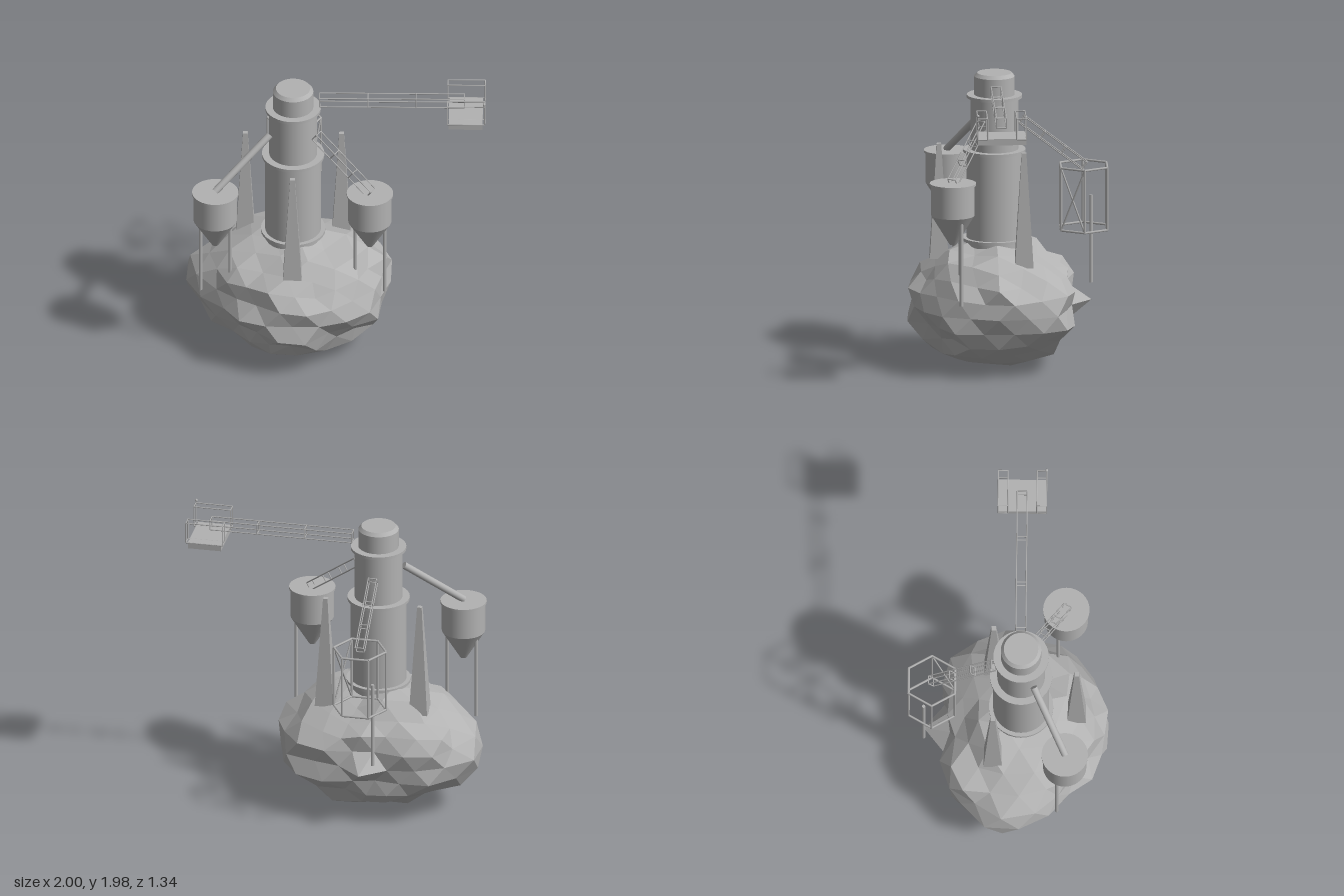
import * as THREE from 'three';

const CX = -0.286, CZ = 0.082; // tower axis

export function createModel() {
  const model = new THREE.Group();
  const grey = new THREE.MeshStandardMaterial({ color: 0xb2b2b2 });
  grey.name = 'plain grey';

  const V = (x, y, z) => new THREE.Vector3(x, y, z);
  function add(parent, name, geo, x = 0, y = 0, z = 0) {
    const m = new THREE.Mesh(geo, grey);
    m.name = name;
    m.position.set(x, y, z);
    parent.add(m);
    return m;
  }
  function group(name) {
    const g = new THREE.Group();
    g.name = name;
    model.add(g);
    return g;
  }
  // upright round section between two heights
  function drum(parent, name, x, z, y0, y1, r0, r1 = r0, sides = 32) {
    return add(parent, name, new THREE.CylinderGeometry(r1, r0, y1 - y0, sides), x, (y0 + y1) / 2, z);
  }
  // straight bar from a to b
  function bar(parent, name, a, b, r, sides = 6) {
    const m = add(parent, name, new THREE.CylinderGeometry(r, r, a.distanceTo(b), sides));
    m.position.copy(a).add(b).multiplyScalar(0.5);
    m.quaternion.setFromUnitVectors(V(0, 1, 0), b.clone().sub(a).normalize());
    return m;
  }
  // square lattice: four chords and evenly spaced frames
  function truss(name, a, b, half, bays, r) {
    const g = group(name);
    const dir = b.clone().sub(a).normalize();
    const side = dir.clone().cross(V(0, 1, 0)).normalize().multiplyScalar(half);
    const rise = side.clone().cross(dir).normalize().multiplyScalar(half);
    const corner = (t, i) => a.clone().lerp(b, t)
      .addScaledVector(side, i === 0 || i === 3 ? 1 : -1)
      .addScaledVector(rise, i < 2 ? 1 : -1);
    for (let i = 0; i < 4; i++) {
      bar(g, 'chord', corner(0, i), corner(1, i), r);
      for (let k = 0; k <= bays; k++) bar(g, 'frame', corner(k / bays, i), corner(k / bays, (i + 1) % 4), r);
    }
  }

  // Faceted boulder: flattened ball with poles up and down, shaped in plan and roughened
  const outline = [0.71, 0.67, 0.65, 0.61, 0.59, 0.60, 0.61, 0.59, 0.58, 0.58, 0.60, 0.63,
    0.69, 0.72, 0.71, 0.68, 0.61, 0.53, 0.51, 0.53, 0.60, 0.66, 0.69, 0.72]; // every 15 degrees
  const rough = (p) => {
    const s = Math.sin(Math.round(p.x * 500) * 12.99 + Math.round(p.y * 500) * 78.23 + Math.round(p.z * 500) * 37.72) * 43758.5;
    return s - Math.floor(s);
  };
  const spike = V(0, 0, -1), crown = V(-0.25, 0.9, -0.3).normalize();
  const rockGeo = new THREE.IcosahedronGeometry(1, 3);
  rockGeo.rotateX(-Math.atan((1 + Math.sqrt(5)) / 2));
  rockGeo.rotateY(Math.PI / 2);
  const pos = rockGeo.attributes.position;
  const p = V(0, 0, 0);
  for (let i = 0; i < pos.count; i++) {
    p.fromBufferAttribute(pos, i);
    const a = ((Math.atan2(p.z, p.x) / (Math.PI * 2) + 1) % 1) * 24;
    const k = Math.floor(a);
    const rim = THREE.MathUtils.lerp(outline[k % 24], outline[(k + 1) % 24], a - k);
    const reach = THREE.MathUtils.lerp(0.62, rim, p.x * p.x + p.z * p.z);
    let n = 0.9 + 0.15 * rough(p);
    if (p.dot(spike) > 0.98) n = 1.25;
    if (p.dot(crown) > 0.96) n = 1.06;
    if (p.y < -0.99) n = 1;
    pos.setXYZ(i, Math.max(-1, CX + p.x * reach * n), Math.max(0, 0.425 + p.y * 0.425 * n), CZ - 0.01 + p.z * reach * n);
  }
  rockGeo.computeVertexNormals();
  add(model, 'boulder', rockGeo);

  // Tower with stepped barrel, collars and cap
  const tower = group('tower');
  drum(tower, 'foot', CX, CZ, 0.76, 0.84, 0.19);
  drum(tower, 'baseCollar', CX, CZ, 0.84, 0.86, 0.215);
  drum(tower, 'lowerBarrel', CX, CZ, 0.86, 1.44, 0.187);
  drum(tower, 'middleCollar', CX, CZ, 1.44, 1.46, 0.208);
  drum(tower, 'upperBarrel', CX, CZ, 1.46, 1.81, 0.16);
  drum(tower, 'topCollar', CX, CZ, 1.81, 1.83, 0.185);
  drum(tower, 'cap', CX, CZ, 1.83, 1.955, 0.135);
  drum(tower, 'capBevel', CX, CZ, 1.955, 1.978, 0.135, 0.115);

  // Three square tapered spires round the tower
  for (const deg of [90, 210, 330]) {
    const t = deg * Math.PI / 180;
    const geo = new THREE.CylinderGeometry(0.022, 0.088, 0.775, 4).toNonIndexed();
    geo.rotateY(Math.PI / 4);
    geo.computeVertexNormals();
    add(model, 'spire', geo, CX + 0.37 * Math.cos(t), 1.11, CZ + 0.37 * Math.sin(t));
  }

  // Two hoppers with legs
  for (const side of [-1, 1]) {
    const hopper = group(side < 0 ? 'rightHopper' : 'leftHopper');
    const x = CX + side * 0.515, z = 0.378;
    drum(hopper, 'rim', x, z, 1.325, 1.34, 0.155);
    drum(hopper, 'bin', x, z, 1.12, 1.325, 0.145);
    drum(hopper, 'funnel', x, z, 0.92, 1.12, 0.022, 0.145);
    for (const dx of [-0.098, 0.098]) drum(hopper, 'leg', x + dx, z - 0.053, 0.52, 1.12, 0.012, 0.012, 8);
  }

  // Feed pipe on one side, lattice chutes on the others
  bar(model, 'feedPipe', V(-0.44, 1.66, 0.168), V(-0.802, 1.345, 0.38), 0.024, 16);
  truss('sideChute', V(-0.13, 1.66, 0.17), V(0.235, 1.345, 0.38), 0.028, 3, 0.004);
  truss('rearChute', V(CX, 1.657, -0.1), V(CX, 1.34, -0.518), 0.028, 3, 0.004);

  // Open hexagonal cage at the rear, with one braced bay and one leg
  const cage = group('hexCage');
  const post = (i, y) => V(CX + 0.178 * Math.cos(i * Math.PI / 3), y, -0.513 + 0.178 * Math.sin(i * Math.PI / 3));
  const lo = 0.915, hi = 1.34;
  for (let i = 0; i < 6; i++) {
    bar(cage, 'post', post(i, lo), post(i, hi), 0.008);
    bar(cage, 'lowerRing', post(i, lo), post(i + 1, lo), 0.008);
    bar(cage, 'upperRing', post(i, hi), post(i + 1, hi), 0.008);
  }
  bar(cage, 'brace', post(0, lo), post(1, hi), 0.006);
  bar(cage, 'brace', post(0, hi), post(1, lo), 0.006);
  drum(cage, 'leg', CX - 0.098, -0.566, 0.52, 1.115, 0.012, 0.012, 8);

  // Boom and end platform with two railing frames
  truss('boom', V(-0.11, 1.883, 0.078), V(0.855, 1.883, 0.078), 0.033, 3, 0.004);
  const platform = group('platform');
  add(platform, 'deck', new THREE.BoxGeometry(0.225, 0.042, 0.325), 0.865, 1.782, 0.078);
  for (const [z0, z1] of [[-0.082, -0.018], [0.176, 0.24]]) {
    const c = [[0.743, z0], [0.992, z0], [0.992, z1], [0.743, z1]];
    c.forEach(([x, z], i) => {
      const [nx, nz] = c[(i + 1) % 4];
      bar(platform, 'railPost', V(x, 1.8, z), V(x, 1.943, z), 0.004);
      for (const y of [1.8, 1.943]) bar(platform, 'rail', V(x, y, z), V(nx, y, nz), 0.004);
    });
  }
  // Beacon on the outer corner
  bar(platform, 'beaconPost', V(0.989, 1.94, 0.24), V(0.989, 1.962, 0.24), 0.004);
  add(platform, 'beacon', new THREE.SphereGeometry(0.01, 10, 8), 0.989, 1.962, 0.24);

  return model;
}
